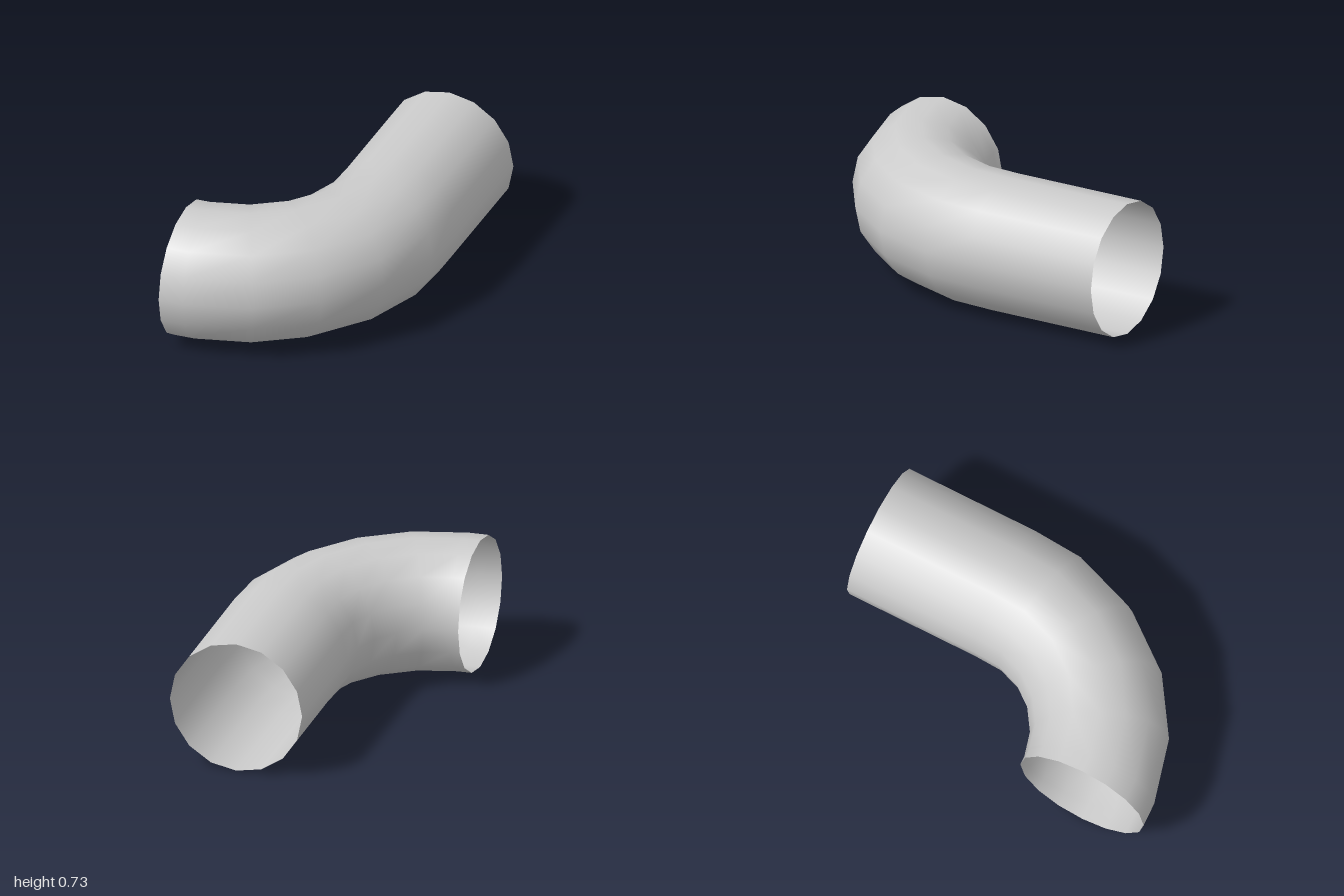
import * as THREE from 'three';

const SIDES = 16;
const PIPE_R = 0.367; // pipe radius
const BEND_R = 0.812; // centreline radius of the bend
const BEND_X = -0.59, BEND_Z = -0.18; // bend centre

// Skin a list of rings { x, z, angle }; angle turns each ring about the y axis
function pipeGeometry(rings) {
  const pos = [], nor = [], idx = [];
  const row = SIDES + 1;
  rings.forEach(({ x, z, angle }, i) => {
    for (let j = 0; j <= SIDES; j++) {
      const a = (j / SIDES) * Math.PI * 2;
      const n = [Math.cos(a) * Math.cos(angle), Math.sin(a), Math.cos(a) * Math.sin(angle)];
      nor.push(...n);
      pos.push(x + PIPE_R * n[0], PIPE_R + PIPE_R * n[1], z + PIPE_R * n[2]);
      if (i < rings.length - 1 && j < SIDES) {
        const k = i * row + j;
        idx.push(k, k + 1, k + row, k + 1, k + row + 1, k + row);
      }
    }
  });
  const g = new THREE.BufferGeometry();
  g.setAttribute('position', new THREE.Float32BufferAttribute(pos, 3));
  g.setAttribute('normal', new THREE.Float32BufferAttribute(nor, 3));
  g.setIndex(idx);
  return g;
}

export function createModel() {
  const group = new THREE.Group();
  group.name = 'pipeElbow';
  const material = new THREE.MeshStandardMaterial({ color: 0xcccccc, side: THREE.DoubleSide });

  // Straight run from the back opening to the start of the bend
  const straightX = BEND_X + BEND_R;
  const rings = [
    { x: straightX, z: -1, angle: 0 },
    { x: straightX, z: -0.25, angle: 0 },
  ];
  // Quarter bend, ending flush at the left-hand opening
  for (const deg of [10.5, 29, 47.3, 65.4, 83.5, 90]) {
    const angle = THREE.MathUtils.degToRad(deg);
    rings.push({
      x: BEND_X + BEND_R * Math.cos(angle),
      z: BEND_Z + BEND_R * Math.sin(angle),
      angle,
    });
  }

  const pipe = new THREE.Mesh(pipeGeometry(rings), material);
  pipe.name = 'bentPipe';
  group.add(pipe);
  return group;
}
